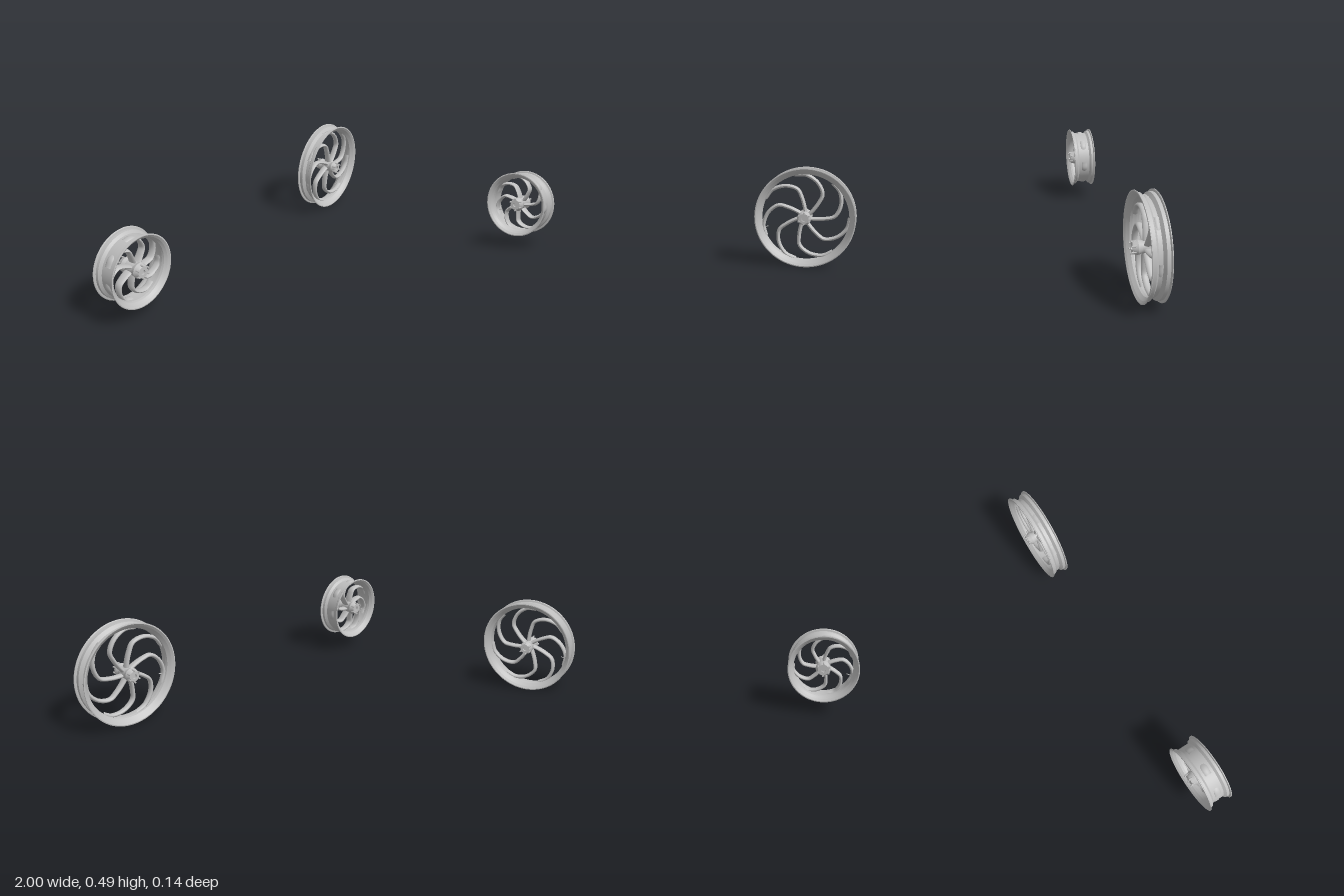
import * as THREE from 'three';

const metal = new THREE.MeshStandardMaterial({ color: 0xbfbfbf });
metal.name = 'cast metal';

function add(group, name, geometry) {
  const mesh = new THREE.Mesh(geometry, metal);
  mesh.name = name;
  group.add(mesh);
  return mesh;
}

// Closed or open (radius, z) profile turned about z, each band with its own normals for crisp edges
function turned(group, name, points, segments) {
  const part = new THREE.Group();
  part.name = name;
  for (let i = 0; i < points.length - 1; i++) {
    const pair = [points[i], points[i + 1]].map(([r, z]) => new THREE.Vector2(r, z));
    add(part, name + 'Band', new THREE.LatheGeometry(pair, segments).rotateX(Math.PI / 2));
  }
  group.add(part);
}

// Hollow rim: half the outer profile from the flange to the drop centre, then the inner skin
function rim(group, R, w, o) {
  const outerHalf = [
    [R - 0.003, w], [R, w - 0.001], [R, w - 0.004], [R - 0.003, w - 0.006],
    [R - 0.011, w - 0.008], [R - o.seat, o.seatZ], [o.drop, o.dropZ],
  ];
  const innerHalf = [
    [R - 0.006, w], [R - 0.016, w - 0.008], [o.inner + 0.003, o.seatZ], [o.inner, o.dropZ],
  ];
  const flip = ([r, z]) => [r, -z];
  const profile = [
    ...outerHalf.map(flip), ...outerHalf.slice().reverse(),
    ...innerHalf, ...innerHalf.slice().reverse().map(flip),
  ];
  profile.push(profile[0]);
  turned(group, 'rim', profile, 96);
}

// One curled spoke: a planar sweep, flattened into an ellipse and tapered toward the rim
function spokeGeometry(R, inner, thick, depth) {
  const path = [[0.08, 32], [0.22, 43], [0.4, 49], [0.58, 55], [0.74, 72], [0.85, 90], [inner / R + 0.012, 105]];
  const points = path.map(([r, deg]) => {
    const a = deg * Math.PI / 180;
    return new THREE.Vector3(Math.cos(a) * r * R, Math.sin(a) * r * R, 0);
  });
  const g = new THREE.TubeGeometry(new THREE.CatmullRomCurve3(points), 36, thick, 12);
  const p = g.attributes.position;
  for (let i = 0; i < p.count; i++) {
    const t = Math.hypot(p.getX(i), p.getY(i)) / R;
    p.setZ(i, p.getZ(i) * (depth / thick) * (1.15 - 0.35 * t));
  }
  g.computeVertexNormals();
  return g;
}

function wheel(name, o) {
  const group = new THREE.Group();
  group.name = name;
  rim(group, o.R, o.w, o);

  // Seven spokes
  const spoke = spokeGeometry(o.R, o.inner, o.thick, o.depth);
  for (let i = 0; i < 7; i++) {
    add(group, 'spoke', spoke).rotation.z = i * Math.PI * 2 / 7;
  }

  // Hub with conical bosses and a bearing recess on both sides
  const h = o.hub;
  turned(group, 'hub', [
    [0, -0.056], [0.012, -0.056], [0.012, -0.066], [h * 0.72, -0.066], [h * 0.8, -0.06],
    [h, -0.042], [h * 0.85, -0.025], [h * 0.85, 0.025], [h, 0.042],
    [h * 0.8, 0.06], [h * 0.72, 0.066], [0.012, 0.066], [0.012, 0.056], [0, 0.056],
  ], 36);

  // Bolts around each hub face
  const bolt = new THREE.CylinderGeometry(0.0045, 0.0045, 0.022, 6).rotateX(Math.PI / 2);
  for (const side of [1, -1]) {
    for (let i = 0; i < 6; i++) {
      const a = i * Math.PI / 3 + Math.PI / 6;
      add(group, 'hubBolt', bolt).position.set(Math.cos(a) * h * 0.82, Math.sin(a) * h * 0.82, side * 0.061);
    }
  }

  // Valve stem pointing in from the rim
  const a = 197 * Math.PI / 180;
  const r = o.inner - 0.01;
  const valve = add(group, 'valveStem', new THREE.CylinderGeometry(0.0025, 0.002, 0.03, 10));
  valve.position.set(Math.cos(a) * r, Math.sin(a) * r, 0);
  valve.rotation.z = a - Math.PI / 2;

  group.position.set(o.x, o.y, 0);
  return group;
}

export function createModel() {
  const model = new THREE.Group();
  model.name = 'wheelPair';
  model.add(
    wheel('largeNarrowWheel', {
      x: 0.7535, y: 0.2465, R: 0.2465, w: 0.045, seat: 0.011, seatZ: 0.021,
      drop: 0.2185, dropZ: 0.009, inner: 0.213, thick: 0.0095, depth: 0.017, hub: 0.034,
    }),
    wheel('smallWideWheel', {
      x: -0.823, y: 0.244, R: 0.177, w: 0.063, seat: 0.012, seatZ: 0.042,
      drop: 0.153, dropZ: 0.031, inner: 0.148, thick: 0.0085, depth: 0.022, hub: 0.038,
    }),
  );
  return model;
}
